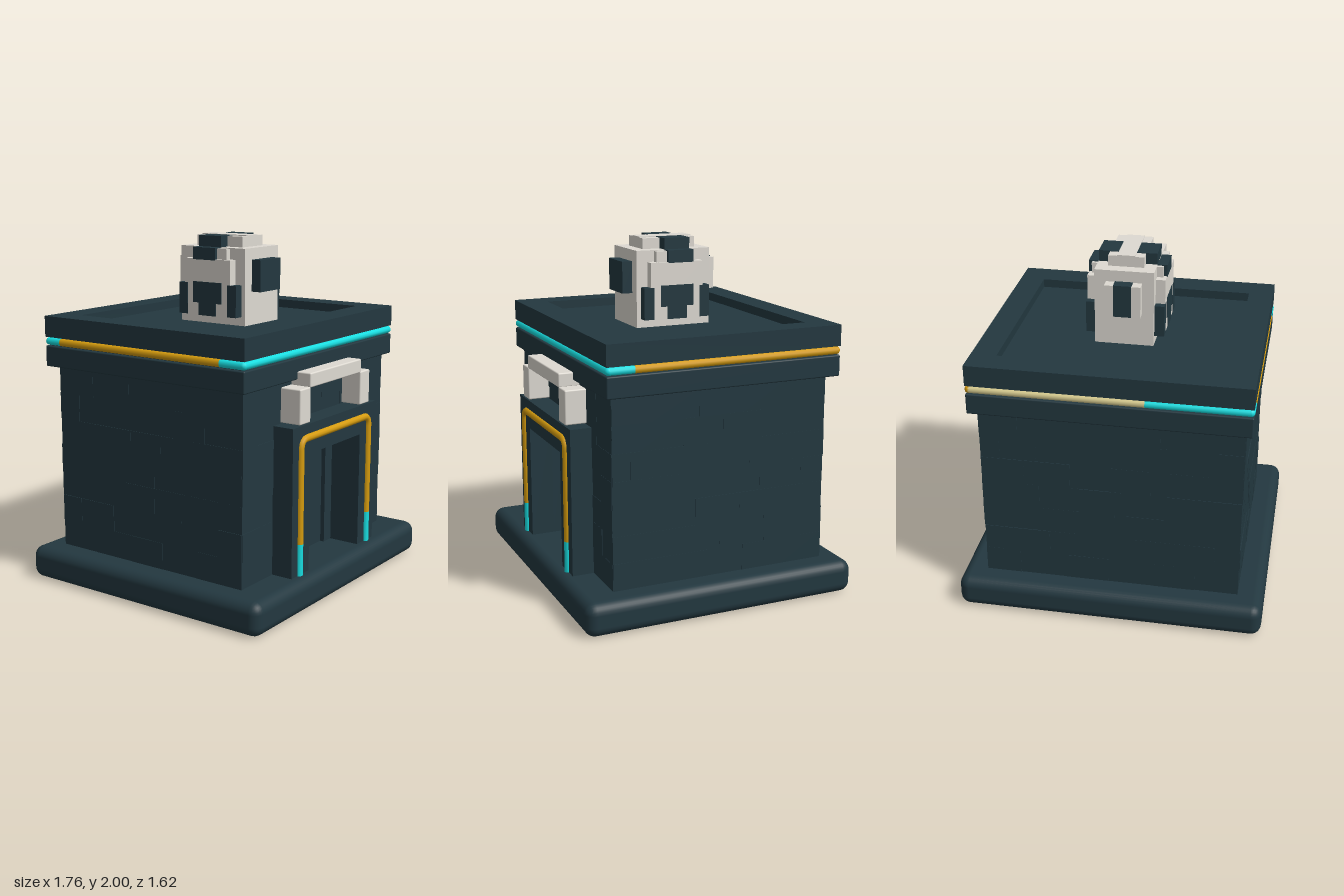
import * as THREE from 'three';
import { RoundedBoxGeometry } from 'three/addons/geometries/RoundedBoxGeometry.js';

const mat = (name, color) => Object.assign(new THREE.MeshStandardMaterial({ color }), { name });

export function createModel() {
  const slate = mat('slate', 0x233840);
  const ivory = mat('ivory', 0xdedad2);
  const cyan = mat('cyan', 0x18dfe2);
  const gold = mat('gold', 0xd69c0e);
  const cream = mat('cream', 0xd8cc90);

  const root = new THREE.Group();
  root.name = 'building';
  const group = (name) => {
    const g = new THREE.Group();
    g.name = name;
    root.add(g);
    return g;
  };
  const add = (parent, name, geo, material) => {
    const m = new THREE.Mesh(geo, material);
    m.name = name;
    parent.add(m);
    return m;
  };
  // Box given by its limits; an optional radius rounds the edges
  const box = (parent, name, material, [x0, x1], [y0, y1], [z0, z1], r = 0) => {
    const s = [x1 - x0, y1 - y0, z1 - z0];
    const geo = r ? new RoundedBoxGeometry(...s, 3, r) : new THREE.BoxGeometry(...s);
    geo.translate((x0 + x1) / 2, (y0 + y1) / 2, (z0 + z1) / 2);
    return add(parent, name, geo, material);
  };
  // Wall with a doorway notch, extruded between two depths
  const doorWall = (parent, name, w, top, z0, z1) => {
    const s = new THREE.Shape();
    [[-w, 0.19], [-0.27, 0.19], [-0.27, 0.86], [0.27, 0.86], [0.27, 0.19], [w, 0.19], [w, top], [-w, top]]
      .forEach(([x, y], i) => (i ? s.lineTo(x, y) : s.moveTo(x, y)));
    const geo = new THREE.ExtrudeGeometry(s, { depth: z1 - z0, bevelEnabled: false });
    geo.translate(0, 0, z0);
    return add(parent, name, geo, slate);
  };

  // Plinth and main body
  box(root, 'plinth', slate, [-0.88, 0.88], [0, 0.19], [-0.81, 0.81], 0.06);
  const body = group('body');
  box(body, 'bodyCore', slate, [-0.727, 0.727], [0.18, 1.27], [-0.662, 0.51]);
  doorWall(body, 'frontWall', 0.727, 1.26, 0.5, 0.602);

  // Brick courses in running bond, each brick standing out a little differently
  let seed = 7;
  const rand = () => (seed = (seed * 16807) % 2147483647) / 2147483647;
  const bricks = group('bricks');
  const rows = 7, rowH = 1.07 / rows;
  const course = (from, to, row, place) => {
    const y = [0.19 + row * rowH, 0.19 + (row + 1) * rowH];
    let a = from;
    let b = from + (row % 2 ? 0.14 : 0.25);
    while (a < to - 0.001) {
      if (to - b < 0.08) b = to;
      place([a, b], y, 0.006 + rand() * 0.005);
      a = b;
      b = a + 0.2 + rand() * 0.08;
    }
  };
  for (let row = 0; row < rows; row++) {
    for (const s of [-1, 1]) {
      course(-0.668, 0.608, row, (z, y, d) => {
        const x = [s * 0.715, s * (0.727 + d)].sort((p, q) => p - q);
        box(bricks, 'sideBrick', slate, x, y, z);
      });
    }
    course(-0.733, 0.733, row, (x, y, d) => box(bricks, 'backBrick', slate, x, y, [-0.664 - d, -0.65]));
    const spans = row < 5 ? [[-0.733, -0.44], [0.44, 0.733]] : [[-0.733, 0.733]];
    spans.forEach(([a, b]) => course(a, b, row, (x, y, d) => {
      if (y[0] > 0.87 || Math.abs(x[0] + x[1]) > 0.8) box(bricks, 'frontBrick', slate, x, y, [0.59, 0.602 + d]);
    }));
  }

  // Door, inner jambs, handle and surround
  const door = group('door');
  doorWall(door, 'doorSurround', 0.445, 1.03, 0.6, 0.735);
  box(door, 'doorPanel', slate, [-0.2, 0.195], [0.19, 0.86], [0.5, 0.525]);
  box(door, 'jambRight', slate, [-0.27, -0.2], [0.19, 0.86], [0.5, 0.55]);
  box(door, 'jambLeft', slate, [0.195, 0.27], [0.19, 0.86], [0.5, 0.55]);
  box(door, 'doorHandle', slate, [-0.135, -0.09], [0.42, 0.5], [0.52, 0.565]);

  // Light tube round the door: cyan feet, gold arch
  const doorLight = group('doorLight');
  const V = (x, y, z) => new THREE.Vector3(x, y, z);
  const rod = (parent, name, material, a, b) => {
    const geo = new THREE.TubeGeometry(new THREE.LineCurve3(a, b), 1, 0.022, 10);
    const m = add(parent, name, geo, material);
    m.castShadow = false;
  };
  const zl = 0.732, xl = 0.365, yl = 0.955, c = 0.055;
  const arch = new THREE.CurvePath();
  arch.add(new THREE.LineCurve3(V(-xl, 0.37, zl), V(-xl, yl - c, zl)));
  arch.add(new THREE.QuadraticBezierCurve3(V(-xl, yl - c, zl), V(-xl, yl, zl), V(-xl + c, yl, zl)));
  arch.add(new THREE.LineCurve3(V(-xl + c, yl, zl), V(xl - c, yl, zl)));
  arch.add(new THREE.QuadraticBezierCurve3(V(xl - c, yl, zl), V(xl, yl, zl), V(xl, yl - c, zl)));
  arch.add(new THREE.LineCurve3(V(xl, yl - c, zl), V(xl, 0.37, zl)));
  add(doorLight, 'goldArch', new THREE.TubeGeometry(arch, 120, 0.022, 10), gold);
  for (const s of [-1, 1]) rod(doorLight, 'cyanFoot', cyan, V(s * xl, 0.19, zl), V(s * xl, 0.37, zl));

  // Pale blocks above the door
  const crest = group('crest');
  box(crest, 'crestBar', ivory, [-0.275, 0.27], [1.225, 1.305], [0.6, 0.735], 0.008);
  box(crest, 'crestLegRight', ivory, [-0.375, -0.27], [1.035, 1.23], [0.6, 0.735], 0.008);
  box(crest, 'crestLegLeft', ivory, [0.265, 0.37], [1.035, 1.23], [0.6, 0.735], 0.008);

  // Roof: two bands, recessed groove and a parapet round a sunken deck
  const roof = group('roof');
  box(roof, 'lowerBand', slate, [-0.775, 0.775], [1.26, 1.38], [-0.74, 0.65], 0.008);
  box(roof, 'groove', slate, [-0.752, 0.752], [1.37, 1.44], [-0.717, 0.627]);
  box(roof, 'deck', slate, [-0.76, 0.76], [1.43, 1.5], [-0.725, 0.635]);
  const rect = (P, x, z0, z1) => new P([[-x, z0], [x, z0], [x, z1], [-x, z1]].map((p) => new THREE.Vector2(...p)));
  const rim = rect(THREE.Shape, 0.775, -0.65, 0.74);
  rim.holes.push(rect(THREE.Path, 0.632, -0.485, 0.59));
  const rimGeo = new THREE.ExtrudeGeometry(rim, { depth: 0.12, bevelEnabled: false });
  rimGeo.rotateX(-Math.PI / 2).translate(0, 1.43, 0);
  add(roof, 'parapet', rimGeo, slate);

  // Roof light tubes
  const roofLight = group('roofLight');
  const X = 0.757, F = 0.632, B = -0.722, Y = 1.405;
  const strip = (name, m, x0, z0, x1, z1) => rod(roofLight, name, m, V(x0, Y, z0), V(x1, Y, z1));
  strip('frontCyan', cyan, -X, F, X, F);
  strip('leftCyan', cyan, X, F, X, 0.49);
  strip('leftGold', gold, X, 0.49, X, B);
  strip('rightCyanFront', cyan, -X, F, -X, 0.49);
  strip('rightGold', gold, -X, 0.49, -X, -0.63);
  strip('rightCyanBack', cyan, -X, -0.63, -X, B);
  strip('backCream', cream, X, B, -0.2, B);
  strip('backCyan', cyan, -0.2, B, -X, B);
  for (const [x, z, m] of [[X, F, cyan], [-X, F, cyan], [-X, B, cyan], [X, B, gold]]) {
    add(roofLight, 'cornerJoint', new THREE.SphereGeometry(0.022, 10, 8), m).position.set(x, Y, z);
  }

  // Blocky ball on the deck, stacked from pale layers
  const ball = group('ball');
  const layer = (name, m, x, y, z) => box(ball, name, m, [-x, x], y, [-z, z]);
  layer('ballCore', ivory, 0.165, [1.5, 1.935], 0.225);
  layer('ballWaist', ivory, 0.218, [1.55, 1.87], 0.16);
  layer('ballShoulder', ivory, 0.2, [1.87, 1.93], 0.12);
  layer('ballCrown', ivory, 0.1, [1.93, 1.995], 0.16);
  layer('crownStrip', ivory, 0.05, [1.99, 2], 0.16);
  // Dark patches
  box(ball, 'frontPatch', slate, [-0.1, 0.1], [1.69, 1.87], [0.22, 0.285]);
  box(ball, 'backPatch', ivory, [-0.1, 0.1], [1.69, 1.87], [-0.285, -0.22]);
  box(ball, 'backInset', slate, [-0.05, 0.05], [1.69, 1.873], [-0.288, -0.22]);
  for (const s of [-1, 1]) {
    const span = (a, b) => (s > 0 ? [a, b] : [-b, -a]);
    box(ball, 'crownPatch', slate, span(0.05, 0.163), [1.93, 1.998], [-0.1, 0.055]);
    box(ball, 'shoulderPatch', slate, span(0.15, 0.22), [1.865, 1.935], [-0.1, 0.055]);
    box(ball, 'sidePatch', slate, span(0.2, 0.222), [1.62, 1.74], [-0.1, 0.1]);
    box(ball, 'sidePatchFoot', slate, span(0.2, 0.222), [1.548, 1.62], [-0.06, 0.06]);
    for (const t of [-1, 1]) {
      const z = t > 0 ? [0.14, 0.2] : [-0.2, -0.14];
      box(ball, 'cornerPatch', slate, span(0.16, 0.22), [1.55, 1.73], z);
    }
  }
  return root;
}
